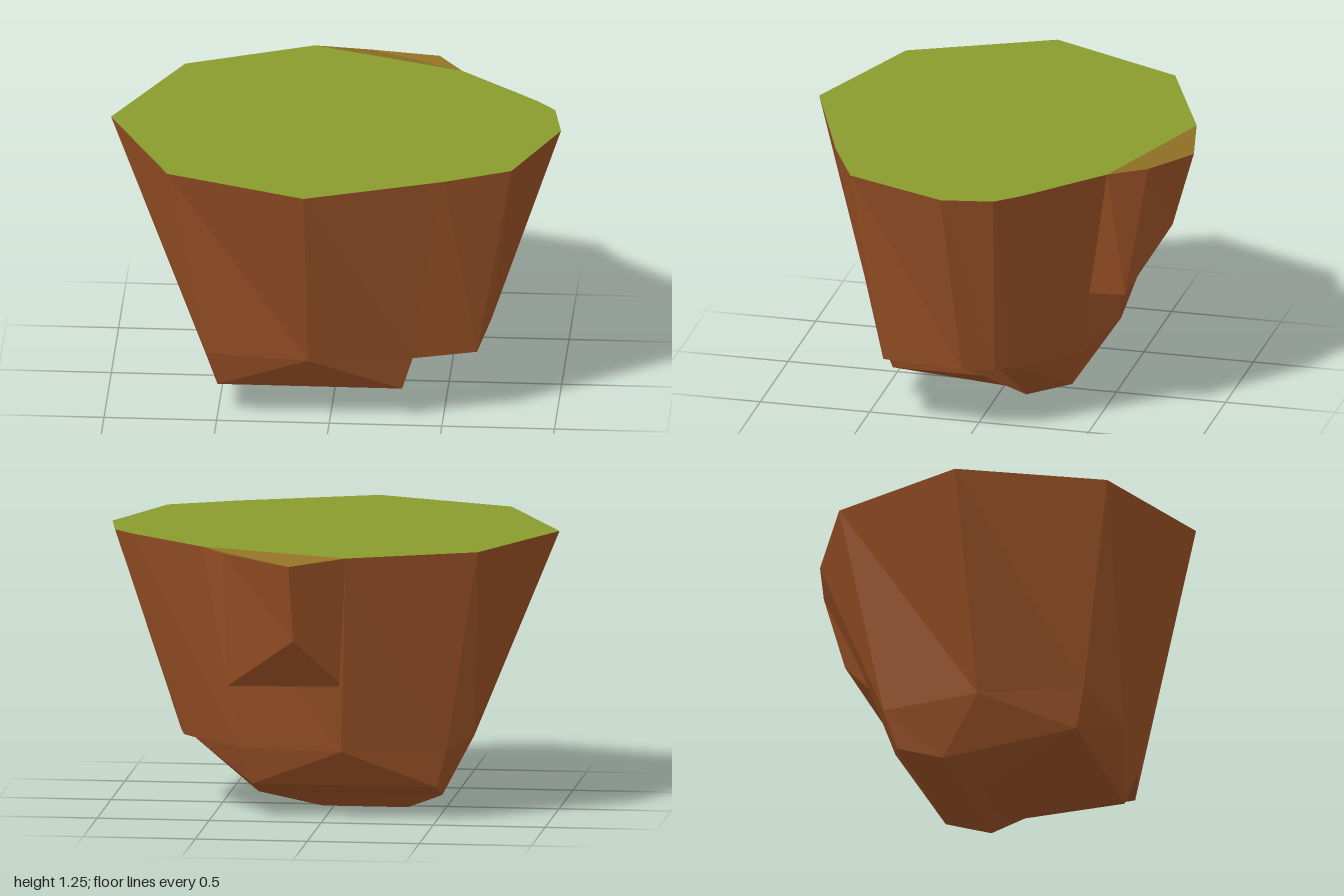
import * as THREE from 'three';

const material = (name, color) => Object.assign(new THREE.MeshStandardMaterial({ color, flatShading: true }), { name });
const soil = material('soil', 0x9a5126);
const grass = material('grass', 0x8a9c2e);
const dryGrass = material('dry grass', 0x8f7125);

// Flat-sided mesh from polygons, every face turned away from a point inside the rock
const inside = new THREE.Vector3(-0.05, 0.8, 0);
function facets(name, mat, polygons) {
  const positions = [];
  for (const polygon of polygons) {
    const p = polygon.map((c) => new THREE.Vector3(...c));
    for (let i = 1; i < p.length - 1; i++) {
      const [a, b, c] = [p[0], p[i], p[i + 1]];
      const normal = b.clone().sub(a).cross(c.clone().sub(a));
      const middle = a.clone().add(b).add(c).divideScalar(3).sub(inside);
      for (const v of normal.dot(middle) > 0 ? [a, b, c] : [a, c, b]) positions.push(v.x, v.y, v.z);
    }
  }
  const geometry = new THREE.BufferGeometry();
  geometry.setAttribute('position', new THREE.Float32BufferAttribute(positions, 3));
  geometry.computeVertexNormals();
  const mesh = new THREE.Mesh(geometry, mat);
  mesh.name = name;
  return mesh;
}

export function createModel() {
  const group = new THREE.Group();
  group.name = 'floatingRock';
  const level = (y, points) => points.map(([x, z]) => [x, y, z]);

  // Outlines at the rim and at the shelf, running from the right side round the front
  const rim = level(1.245, [[-1, 0.02], [-0.71, 0.64], [-0.09, 0.88], [0.52, 0.65], [0.81, 0.51], [1, 0.05],
    [0.96, -0.18], [0.87, -0.28], [0.52, -0.59], [-0.15, -0.83], [-0.71, -0.59]]);
  const shelf = level(0.32, [[-0.62, 0.02], [-0.55, 0.49], [-0.09, 0.55], [0.37, 0.49], [0.65, 0.4], [0.69, 0.03],
    [0.66, -0.11], [0.6, -0.19], [0.37, -0.43], [-0.09, -0.5], [-0.55, -0.43]]);

  // Grass top and tapering soil sides
  group.add(facets('grassTop', grass, [rim]));
  group.add(facets('soilSides', soil, rim.map((p, i) => {
    const j = (i + 1) % rim.length;
    return [p, rim[j], shelf[j], shelf[i]];
  })));

  // Corners of the lower rock
  const frontR = [-0.5, 0.15, 0.44], frontL = [0.32, 0.15, 0.44];
  const midL = [0.32, 0.15, 0.03], lowL = [0.32, 0.08, -0.17], backL = [0.32, 0.15, -0.38];
  const backR = [-0.5, 0.15, -0.38], lowR = [-0.5, 0.08, -0.17];
  const notch = [0.42, 0.32, 0.03];

  // Overhang on the left side
  group.add(facets('overhangUnderside', soil, [[notch, ...shelf.slice(3, 8)]]));

  // Walls below the shelf
  group.add(facets('lowerWalls', soil, [
    [shelf[2], shelf[1], frontR], [shelf[2], frontR, frontL], [shelf[2], frontL, shelf[3]],
    [shelf[3], frontL, midL, notch],
    [notch, midL, lowL, shelf[7]],
    [shelf[7], lowL, backL, shelf[8]],
    [shelf[9], shelf[8], backL], [shelf[9], backL, backR], [shelf[9], backR, shelf[10]],
    [shelf[10], backR, lowR], [shelf[10], lowR, shelf[0]],
    [shelf[0], lowR, frontR], [shelf[0], frontR, shelf[1]],
  ]));

  // Faceted bottom closing on a short ridge
  const ridgeR = [-0.33, 0, -0.04], ridgeL = [0.05, 0, -0.04];
  const brow = [[-0.33, 0.08, 0.27], [0.05, 0.08, 0.27]];
  group.add(facets('bottom', soil, [
    [frontR, frontL, brow[1], brow[0]],
    [brow[0], brow[1], ridgeL, ridgeR],
    [frontL, midL, ridgeL], [frontL, ridgeL, brow[1]],
    [midL, lowL, ridgeL],
    [lowL, lowR, ridgeR, ridgeL],
    [lowL, backL, backR, lowR],
    [lowR, frontR, ridgeR], [frontR, brow[0], ridgeR],
  ]));

  // Ledge bulging from the back
  const ledgeTop = [rim[8], [0.41, 1.245, -0.75], [0.1, 1.21, -0.88], rim[9]];
  const ledgeFoot = [[0.42, 0.63, -0.48], [0.4, 0.63, -0.64], [0.09, 0.86, -0.78], [-0.11, 0.63, -0.6]];
  group.add(facets('ledgeTop', dryGrass, [ledgeTop]));
  group.add(facets('ledgeSides', soil, [
    ...[0, 1, 2].map((i) => [ledgeTop[i], ledgeTop[i + 1], ledgeFoot[i + 1], ledgeFoot[i]]),
    [ledgeFoot[3], ledgeFoot[0], ledgeFoot[1], ledgeFoot[2]],
  ]));

  return group;
}
